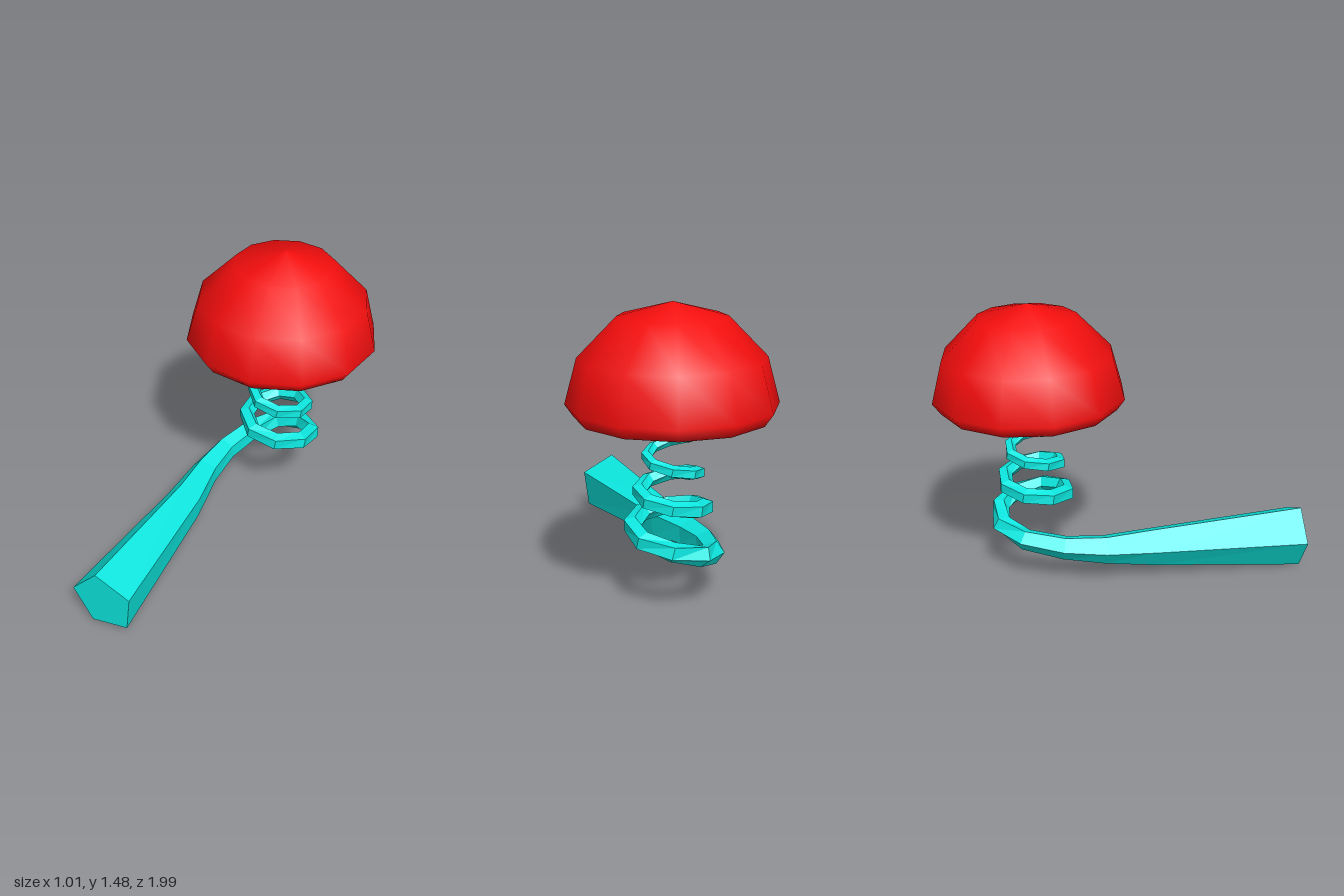
import * as THREE from 'three';

const CZ = -0.49; // axis of the coil and cap

function lathe(name, color, profile) {
  const pts = profile.map(([r, y]) => new THREE.Vector2(r, y));
  const mesh = new THREE.Mesh(new THREE.LatheGeometry(pts, 12), new THREE.MeshStandardMaterial({ color }));
  mesh.position.z = CZ;
  mesh.name = name;
  return mesh;
}

// Tapered five-sided tube through stations { p, r, a }:
// a is the angle of the first corner, from outward towards up
function taperedTube(stations) {
  const n = 5, pos = [], index = [], up = new THREE.Vector3(0, 1, 0);
  stations.forEach((s, i) => {
    const prev = stations[Math.max(i - 1, 0)].p;
    const next = stations[Math.min(i + 1, stations.length - 1)].p;
    const t = next.clone().sub(prev).normalize();
    const out = up.clone().cross(t).normalize();
    const b = t.clone().cross(out);
    for (let j = 0; j < n; j++) {
      const ang = s.a + (j / n) * Math.PI * 2;
      const v = s.p.clone().addScaledVector(out, s.r * Math.cos(ang)).addScaledVector(b, s.r * Math.sin(ang));
      pos.push(v.x, v.y, v.z);
    }
  });
  const last = (stations.length - 1) * n;
  for (let i = 0; i < last; i += n) {
    for (let j = 0; j < n; j++) {
      const k = (j + 1) % n;
      index.push(i + j, i + k, i + n + j, i + k, i + n + k, i + n + j);
    }
  }
  // end faces
  for (let j = 1; j < n - 1; j++) {
    index.push(0, j + 1, j, last, last + j, last + j + 1);
  }
  const geo = new THREE.BufferGeometry();
  geo.setAttribute('position', new THREE.Float32BufferAttribute(pos, 3));
  geo.setIndex(index);
  const flat = geo.toNonIndexed();
  flat.computeVertexNormals();
  return flat;
}

export function createModel() {
  const group = new THREE.Group();

  // Domed cap with a rolled rim and a hollow underside
  group.add(lathe('cap', 0xf20d0d, [
    [0.385, 1.0], [0.41, 0.965], [0.465, 0.955], [0.507, 1.015],
    [0.447, 1.235], [0.26, 1.427], [0, 1.495],
  ]));
  group.add(lathe('capInside', 0x8a5520, [
    [0, 1.4], [0.21, 1.34], [0.35, 1.18], [0.385, 1.0],
  ]));

  // Straight thick end of the stem
  const deg = Math.PI / 180;
  const stations = [
    [0.326, 0.17, 0.927, 0.175, 7],
    [0.0, 0.187, 0.17, 0.108, 5],
    [-0.12, 0.205, -0.07, 0.08, 2],
    [-0.185, 0.227, -0.27, 0.066, 0],
  ].map(([x, y, z, r, a]) => ({ p: new THREE.Vector3(x, y, z), r, a: a * deg }));

  // Coil rising into the cap, k counted in quarter turns
  for (let k = 0; k <= 17.5; k += 0.5) {
    const ang = (k * Math.PI) / 2;
    const R = 0.206 - 0.009 * k;
    const y = k < 2 ? 0.26 + 0.085 * k - 0.005 * k * k : 0.41 + 0.0435 * (k - 2);
    stations.push({
      p: new THREE.Vector3(0.008 - R * Math.cos(ang), y, CZ + 0.005 - R * Math.sin(ang)),
      r: 0.053 - 0.0024 * k + 0.006 * Math.max(0, 1 - k),
      a: -36 * deg * Math.min(1, k / 1.5),
    });
  }
  const stem = new THREE.Mesh(
    taperedTube(stations),
    new THREE.MeshStandardMaterial({ color: 0x0de8e0, flatShading: true })
  );
  stem.name = 'coiledStem';
  group.add(stem);

  return group;
}
